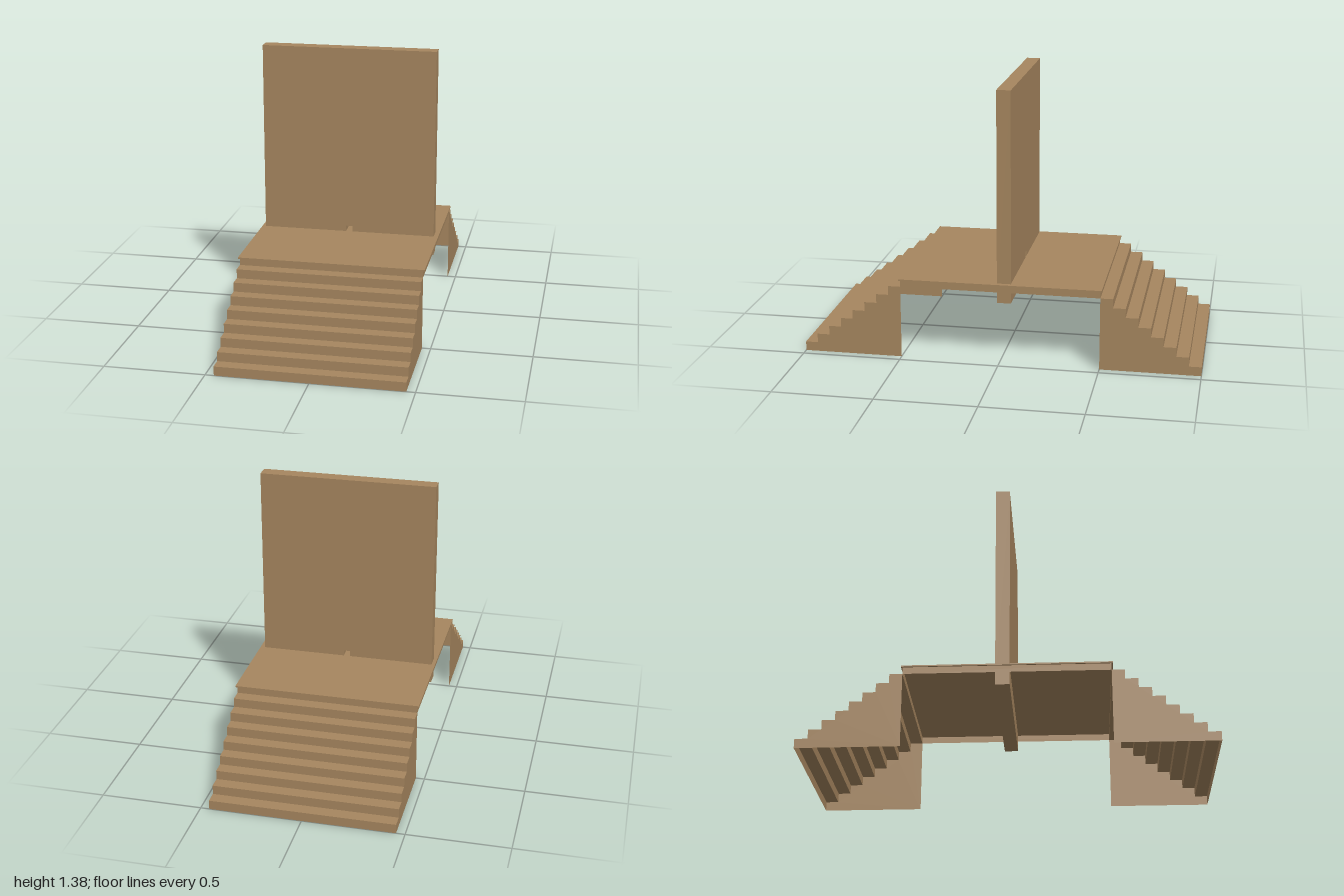
import * as THREE from 'three';

const STEPS = 8, HALF_W = 0.457, RISE = 0.37 / STEPS, RUN = 0.5 / STEPS;
const DECK_Y = 0.404, DECK_TOP = 0.411;

export function createModel() {
  const model = new THREE.Group();
  model.name = 'stairPlatform';
  const wood = new THREE.MeshStandardMaterial({ color: 0xa6865f, side: THREE.DoubleSide, flatShading: true });
  wood.name = 'tan wood';

  const add = (parent, name, geometry, x = 0, y = 0, z = 0, rx = 0, ry = 0) => {
    const mesh = new THREE.Mesh(geometry, wood);
    mesh.name = name;
    mesh.position.set(x, y, z);
    mesh.rotation.set(rx, ry, 0);
    parent.add(mesh);
    return mesh;
  };

  // Stepped side profile: shape x runs along -z once turned, from the outer end inwards
  const profile = new THREE.Shape();
  profile.moveTo(0, 0);
  for (let i = 0; i < STEPS; i++) {
    profile.lineTo(i * RUN, (i + 1) * RISE);
    profile.lineTo((i + 1) * RUN, (i + 1) * RISE);
  }
  profile.lineTo(STEPS * RUN, 0);
  profile.closePath();
  const sideGeometry = new THREE.ShapeGeometry(profile);
  const riserGeometry = new THREE.PlaneGeometry(HALF_W * 2, RISE);
  const treadGeometry = new THREE.PlaneGeometry(HALF_W * 2, RUN);

  // Hollow flight of stairs, open below and towards the platform
  const makeStairs = (name) => {
    const stairs = new THREE.Group();
    stairs.name = name;
    for (let i = 0; i < STEPS; i++) {
      add(stairs, 'riser', riserGeometry, 0, (i + 0.5) * RISE, 1 - i * RUN);
      add(stairs, 'tread', treadGeometry, 0, (i + 1) * RISE, 1 - (i + 0.5) * RUN, -Math.PI / 2);
    }
    for (const s of [-1, 1]) add(stairs, 'stairSide', sideGeometry, s * HALF_W, 0, 1, 0, Math.PI / 2);
    model.add(stairs);
    return stairs;
  };
  makeStairs('frontStairs');
  makeStairs('backStairs').rotation.y = Math.PI;

  // Platform: thin overhanging deck with a skirt, open below
  const platform = new THREE.Group();
  platform.name = 'platform';
  model.add(platform);
  add(platform, 'deck', new THREE.BoxGeometry(0.93, DECK_TOP - DECK_Y, 1.014), 0, (DECK_Y + DECK_TOP) / 2, 0);
  const skirtH = DECK_Y - 0.37, skirtY = 0.37 + skirtH / 2;
  for (const s of [-1, 1]) {
    add(platform, 'endSkirt', new THREE.PlaneGeometry(HALF_W * 2, skirtH), 0, skirtY, s * 0.5, 0, s > 0 ? 0 : Math.PI);
    add(platform, 'sideSkirt', new THREE.PlaneGeometry(1, skirtH), s * HALF_W, skirtY, 0, 0, s * Math.PI / 2);
  }

  // Upright wall passing through the deck, with a small square opening at deck level
  const wall = new THREE.Shape();
  wall.moveTo(-0.447, 0.31);
  wall.lineTo(0.441, 0.31);
  wall.lineTo(0.441, 1.378);
  wall.lineTo(-0.447, 1.378);
  wall.closePath();
  const hole = new THREE.Path();
  hole.moveTo(-0.018, 0.405);
  hole.lineTo(-0.018, 0.44);
  hole.lineTo(0.016, 0.44);
  hole.lineTo(0.016, 0.405);
  hole.closePath();
  wall.holes.push(hole);
  add(model, 'wall', new THREE.ExtrudeGeometry(wall, { depth: 0.07, bevelEnabled: false }), 0, 0, -0.056);

  return model;
}
